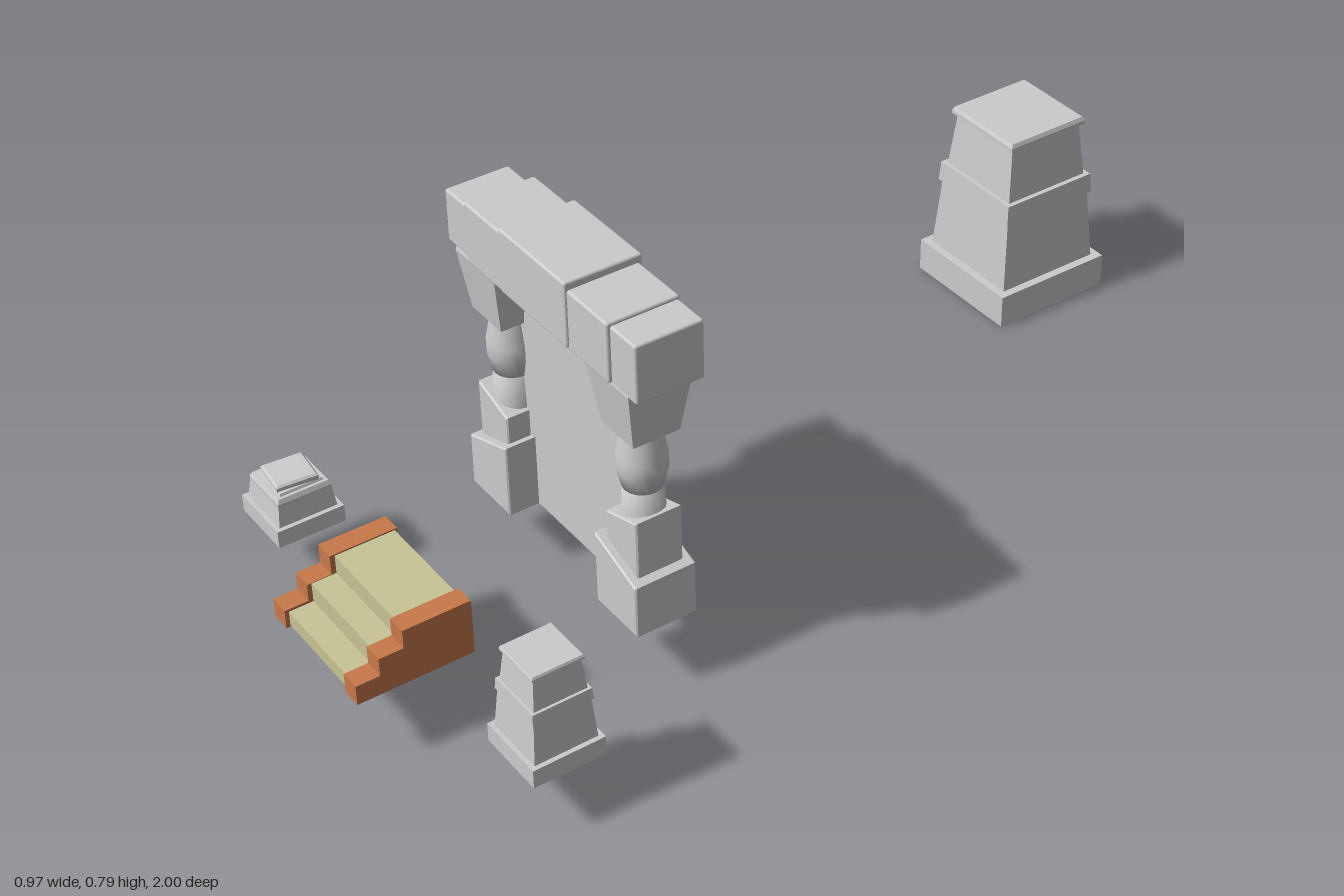
import * as THREE from 'three';
import { RoundedBoxGeometry } from 'three/addons/geometries/RoundedBoxGeometry.js';

const stone = new THREE.MeshStandardMaterial({ color: 0xcccccc, flatShading: true });
const smoothStone = new THREE.MeshStandardMaterial({ color: 0xcccccc });
const panelStone = new THREE.MeshStandardMaterial({ color: 0xcccccc, side: THREE.DoubleSide });
const brick = new THREE.MeshStandardMaterial({ color: 0xc8784a });
const sand = new THREE.MeshStandardMaterial({ color: 0xc8c496 });

function add(parent, name, geometry, material, x = 0, y = 0, z = 0) {
  const mesh = new THREE.Mesh(geometry, material);
  mesh.name = name;
  mesh.position.set(x, y, z);
  parent.add(mesh);
  return mesh;
}

// Square stack turned from [half width, height] pairs, closed at both ends
function squareStack(profile) {
  const closed = [[0, profile[0][1]], ...profile, [0, profile.at(-1)[1]]];
  const points = closed.map(([h, y]) => new THREE.Vector2(h * Math.SQRT2, y));
  return new THREE.LatheGeometry(points, 4, Math.PI / 4);
}

// Outline in x/y (counter-clockwise), extruded along z and centred there
function prism(corners, depth, bevel = 0) {
  const shape = new THREE.Shape(corners.map(([x, y]) => new THREE.Vector2(x, y)));
  return new THREE.ExtrudeGeometry(shape, {
    depth: depth - 2 * bevel, bevelEnabled: bevel > 0, bevelThickness: bevel,
    bevelSize: bevel, bevelOffset: -bevel, bevelSegments: 1,
  }).translate(0, 0, bevel - depth / 2);
}

// Block from ranges, with softly rounded edges
function block(parent, name, [x0, x1], [y0, y1], [z0, z1]) {
  const geometry = new RoundedBoxGeometry(x1 - x0, y1 - y0, z1 - z0, 2, 0.005);
  add(parent, name, geometry, smoothStone, (x0 + x1) / 2, (y0 + y1) / 2, (z0 + z1) / 2);
}

// One gate post; side is +1 for the model's left, -1 for its right
function gatePost(side) {
  const post = new THREE.Group();
  post.name = side > 0 ? 'leftPost' : 'rightPost';
  const sloped = (h, y0, inner, outer) => {
    const left = side > 0 ? inner : outer;
    const right = side > 0 ? outer : inner;
    return prism([[-h, y0], [h, y0], [h, right], [-h, left]], h * 2, 0.003);
  };
  add(post, 'footBlock', sloped(0.064, 0.13, 0.284, 0.24), stone);
  add(post, 'upperFootBlock', sloped(0.048, 0.235, 0.336, 0.366), stone);

  // Round shaft: plain lower drum below a bulging upper drum
  const drum = (points) => new THREE.LatheGeometry(points.map(([r, y]) => new THREE.Vector2(r, y)), 20);
  add(post, 'lowerDrum', drum([[0.042, 0.33], [0.037, 0.408], [0, 0.408]]), smoothStone);
  add(post, 'upperDrum', drum([[0, 0.407], [0.038, 0.407], [0.0465, 0.445], [0.0465, 0.472], [0.034, 0.535]]), smoothStone);

  add(post, 'capital', squareStack([[0.045, 0.527], [0.048, 0.53], [0.065, 0.652], [0.063, 0.66]]), stone);
  post.position.set(0.0085 + side * 0.211, 0, 0.45);
  return post;
}

function gate() {
  const group = new THREE.Group();
  group.name = 'gate';
  group.add(gatePost(1), gatePost(-1));

  // Lintel stones
  block(group, 'keystone', [-0.095, 0.115], [0.66, 0.793], [0.368, 0.526]);
  block(group, 'rightLintelStone', [-0.218, -0.025], [0.655, 0.78], [0.374, 0.521]);
  block(group, 'leftLintelStone', [0.05, 0.235], [0.655, 0.777], [0.374, 0.521]);
  block(group, 'rightEndStone', [-0.295, -0.15], [0.657, 0.765], [0.381, 0.513]);
  block(group, 'leftEndStone', [0.12, 0.308], [0.65, 0.77], [0.376, 0.514]);

  // Thin sheet closing the opening
  add(group, 'doorPanel', new THREE.PlaneGeometry(0.4, 0.53), panelStone, 0.0085, 0.395, 0.45);
  return group;
}

function stairs() {
  const group = new THREE.Group();
  group.name = 'stairs';
  // Stepped side outline, drawn in z/y then turned to face along x
  const stepped = (width, y0, heights, fronts, back) => {
    const outline = [[back, y0], [fronts[0], y0]];
    heights.forEach((y, i) => outline.push([fronts[i], y], [fronts[i + 1] ?? back, y]));
    return prism(outline.map(([z, y]) => [-z, y]).reverse(), width).rotateY(Math.PI / 2);
  };
  const railFronts = [1.0, 0.952, 0.903];
  const rightRail = stepped(0.041, 0.133, [0.172, 0.208, 0.249], railFronts, 0.767);
  const leftRail = stepped(0.041, 0.138, [0.179, 0.216, 0.254], railFronts, 0.767);
  add(group, 'rightRail', rightRail, brick, -0.118);
  add(group, 'leftRail', leftRail, brick, 0.1345);
  add(group, 'steps', stepped(0.213, 0.137, [0.167, 0.207, 0.246], [0.992, 0.943, 0.893], 0.772), sand, 0.0075);
  return group;
}

// Tapered pedestal with plinth, collar and cap
function pedestal(name, x, y, z, scale) {
  const mesh = add(new THREE.Group(), name, squareStack([
    [0.1365, 0], [0.1365, 0.072], [0.119, 0.072], [0.107, 0.228],
    [0.113, 0.228], [0.11, 0.272], [0.1, 0.272], [0.088, 0.392],
    [0.097, 0.392], [0.097, 0.4], [0.093, 0.408],
  ]), stone, x, y, z);
  mesh.scale.setScalar(scale);
  return mesh;
}

// Short pedestal with a loose slab on top
function brokenPedestal() {
  const group = new THREE.Group();
  group.name = 'brokenPedestal';
  add(group, 'body', squareStack([
    [0.069, 0], [0.069, 0.036], [0.06, 0.036], [0.055, 0.075],
    [0.055, 0.083], [0.051, 0.092], [0.045, 0.092], [0.043, 0.097],
  ]), stone);
  const slab = add(group, 'looseSlab', squareStack([[0.036, -0.012], [0.041, 0], [0.041, 0.006], [0.037, 0.01]]), stone, 0, 0.098, 0);
  slab.rotation.set(0.03, -0.12, 0.04);
  group.position.set(-0.383, 0.122, 0.83);
  return group;
}

export function createModel() {
  const model = new THREE.Group();
  model.name = 'ruinedGateway';
  model.add(
    gate(),
    stairs(),
    pedestal('largePedestal', -0.3485, 0, -0.864, 1),
    pedestal('smallPedestal', 0.412, 0.117, 0.782, 0.528),
    brokenPedestal(),
  );
  return model;
}
